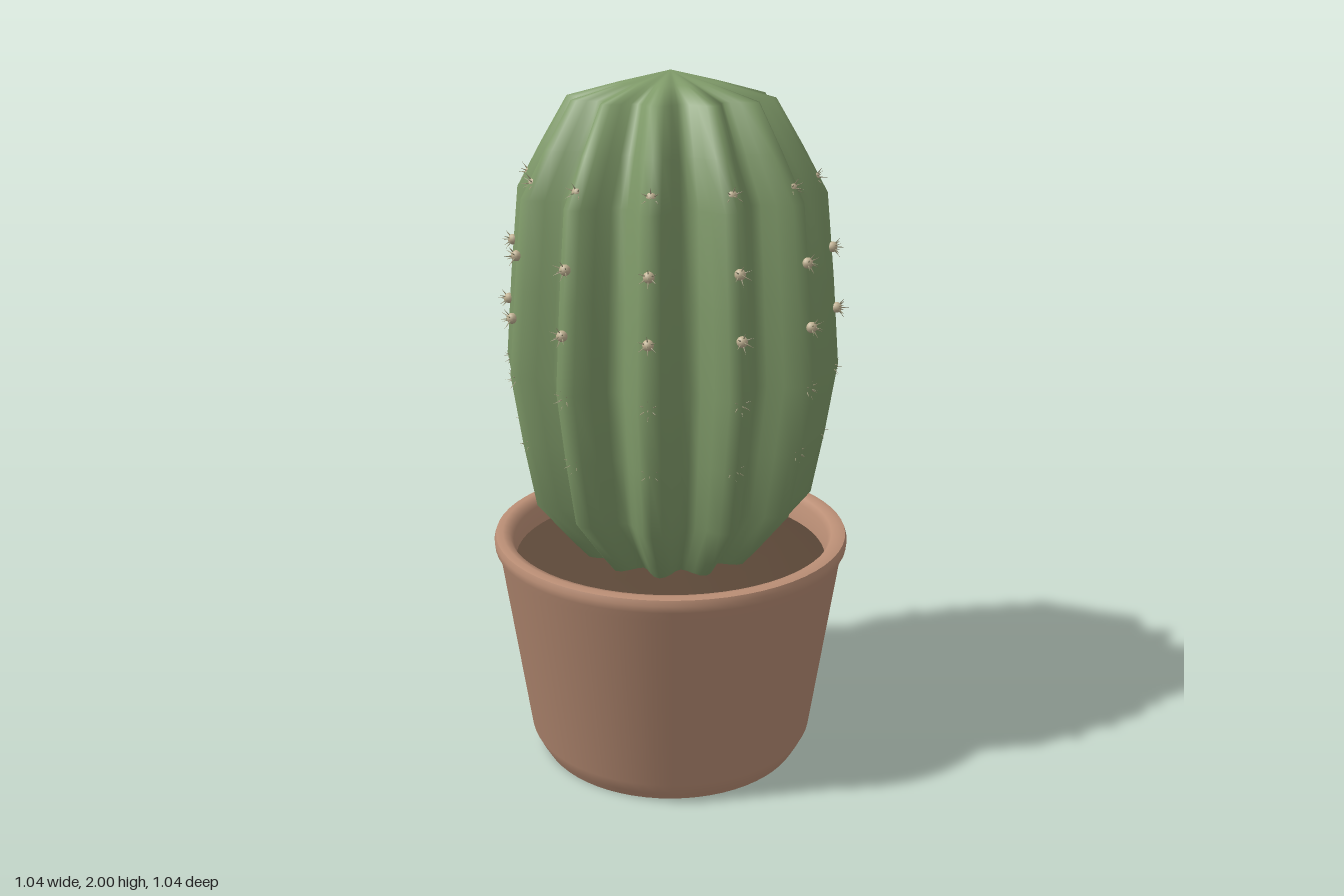
import * as THREE from 'three';
import { mergeVertices, mergeGeometries, toCreasedNormals } from 'three/addons/utils/BufferGeometryUtils.js';

const RIBS = 12;

function mat(name, color) {
  const m = new THREE.MeshStandardMaterial({ color });
  m.name = name;
  return m;
}

const lathe = (pts, segments) =>
  new THREE.LatheGeometry(pts.map(([x, y]) => new THREE.Vector2(x, y)), segments);

function addMesh(parent, name, geometry, material) {
  const m = new THREE.Mesh(geometry, material);
  m.name = name;
  parent.add(m);
  return m;
}

// Lathed body whose radius swells and shrinks around the axis to form ribs
function ribbedBody() {
  const geo = lathe([
    [0, 0.56], [0.2, 0.56], [0.305, 0.68], [0.41, 0.81], [0.445, 1.0], [0.475, 1.2],
    [0.455, 1.44], [0.43, 1.68], [0.36, 1.805], [0.285, 1.93], [0.14, 1.968], [0, 2.0],
  ], RIBS * 8);
  const p = geo.attributes.position;
  for (let i = 0; i < p.count; i++) {
    const a = Math.atan2(p.getX(i), p.getZ(i));
    const s = 0.89 + 0.11 * Math.cos(RIBS * a);
    p.setX(i, p.getX(i) * s);
    p.setZ(i, p.getZ(i) * s);
  }
  geo.deleteAttribute('normal');
  geo.deleteAttribute('uv');
  const merged = mergeVertices(geo, 1e-4);
  merged.computeVertexNormals();
  return merged;
}

// Star of thin needles fanning outward along +z
function spineCluster() {
  const up = new THREE.Vector3(0, 1, 0);
  const needles = [];
  for (let i = 0; i < 7; i++) {
    const a = (i / 6) * Math.PI * 2;
    const dir = i === 6
      ? new THREE.Vector3(0, 0, 1)
      : new THREE.Vector3(Math.sin(a), Math.cos(a), 0.8).normalize();
    const cone = new THREE.ConeGeometry(0.0035, 0.036, 5);
    cone.translate(0, 0.018, 0);
    cone.applyQuaternion(new THREE.Quaternion().setFromUnitVectors(up, dir));
    needles.push(cone);
  }
  return mergeGeometries(needles);
}

export function createModel() {
  const model = new THREE.Group();
  model.name = 'pottedCactus';

  const clay = mat('clay', 0xba8e75);
  const earth = mat('earth', 0x5c4838);
  const green = mat('cactusGreen', 0x7f9a69);
  const tan = mat('areoleTan', 0xc2b394);
  const straw = mat('spineStraw', 0xa09a7c);

  // Tapered pot with a rolled rim
  const pot = lathe([
    [0, 0], [0.39, 0], [0.405, 0.025], [0.425, 0.065], [0.503, 0.615], [0.518, 0.645],
    [0.52, 0.665], [0.515, 0.68], [0.495, 0.684], [0.475, 0.678], [0.464, 0.66], [0.455, 0.56],
  ], 64);
  addMesh(model, 'pot', toCreasedNormals(pot, 0.9), clay);

  // Slightly mounded soil
  addMesh(model, 'soil', lathe([[0.462, 0.6], [0.3, 0.625], [0, 0.64]], 64), earth);

  addMesh(model, 'cactusBody', ribbedBody(), green);

  // Areoles with spines along every ridge: [height, distance from axis]
  const rows = [[1.72, 0.392], [1.53, 0.447], [1.36, 0.465], [1.19, 0.455], [1.0, 0.422]];
  const areole = new THREE.SphereGeometry(0.015, 10, 8);
  const spines = spineCluster();
  for (let r = 0; r < RIBS; r++) {
    const ridge = new THREE.Group();
    ridge.name = 'ridgeSpines';
    ridge.rotation.y = (r / RIBS) * Math.PI * 2;
    for (const [y, d] of rows) {
      addMesh(ridge, 'areole', areole, tan).position.set(0, y, d);
      addMesh(ridge, 'spines', spines, straw).position.set(0, y, d);
    }
    model.add(ridge);
  }
  return model;
}
